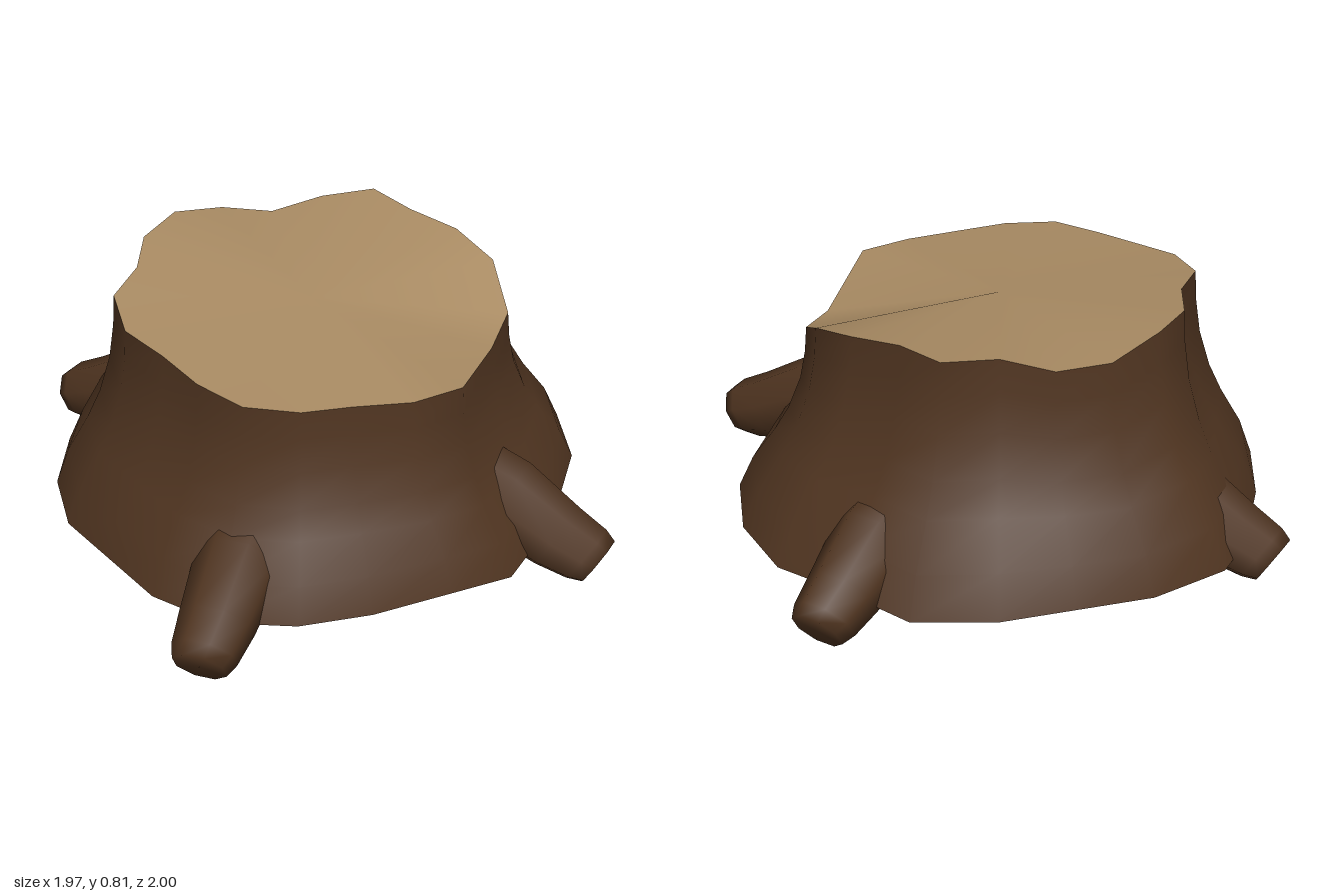
import * as THREE from 'three';

const bark = new THREE.MeshStandardMaterial({ color: 0x4f3420, side: THREE.DoubleSide });
bark.name = 'bark brown';
const wood = new THREE.MeshStandardMaterial({ color: 0xa98b63, side: THREE.DoubleSide });
wood.name = 'cut wood tan';

// Rim of the cut: x, height, z, counter-clockwise seen from above
const rim = [
  [0.61, 0.675, 0.04], [0.47, 0.62, -0.26], [0.40, 0.65, -0.42], [0.25, 0.74, -0.52],
  [0.08, 0.78, -0.54], [-0.09, 0.80, -0.51], [-0.26, 0.81, -0.52], [-0.36, 0.80, -0.38],
  [-0.47, 0.75, -0.26], [-0.58, 0.77, -0.14], [-0.61, 0.81, 0.04], [-0.57, 0.80, 0.21],
  [-0.46, 0.785, 0.34], [-0.40, 0.77, 0.49], [-0.25, 0.745, 0.58], [-0.08, 0.73, 0.585],
  [0.08, 0.71, 0.60], [0.25, 0.70, 0.585], [0.38, 0.69, 0.48], [0.46, 0.685, 0.35],
  [0.56, 0.675, 0.20],
];
// Flared foot: x, z, matched to the rim
const foot = [
  [0.825, 0.04], [0.74, -0.26], [0.55, -0.60], [0.36, -0.76], [0.12, -0.84],
  [-0.12, -0.80], [-0.37, -0.78], [-0.56, -0.61], [-0.69, -0.41], [-0.82, -0.21],
  [-0.89, 0.04], [-0.85, 0.20], [-0.70, 0.46], [-0.54, 0.65], [-0.34, 0.775],
  [-0.11, 0.81], [0.12, 0.845], [0.35, 0.80], [0.53, 0.65], [0.65, 0.46], [0.75, 0.22],
];
const FOOT_Y = 0.1;

// Skin a stack of closed rings, each an array of [x, y, z]
function loft(rings) {
  const n = rings[0].length, index = [];
  for (let i = 0; i < rings.length - 1; i++) {
    for (let j = 0; j < n; j++) {
      const k = (j + 1) % n;
      const a = i * n + j, b = i * n + k, c = b + n, d = a + n;
      index.push(a, b, c, a, c, d);
    }
  }
  return geometry(rings.flat(), index);
}

// Fill a ring with triangles around a centre point
function fan(center, ring) {
  const index = [];
  ring.forEach((_, j) => index.push(0, j + 1, ((j + 1) % ring.length) + 1));
  return geometry([center, ...ring], index);
}

function geometry(points, index) {
  const g = new THREE.BufferGeometry();
  g.setAttribute('position', new THREE.Float32BufferAttribute(points.flat(), 3));
  g.setIndex(index);
  g.computeVertexNormals();
  return g;
}

function makeMesh(geo, material, name) {
  const mesh = new THREE.Mesh(geo, material);
  mesh.name = name;
  return mesh;
}

// Fat root arching from under the trunk out to the ground, with a blunt smooth tip.
// Stations: fraction along the root, height, radius, downward slope
const stations = [
  [0, 0.28, 0.07, 0], [0.12, 0.28, 0.125, 0], [0.28, 0.27, 0.15, 0.05],
  [0.48, 0.245, 0.148, 0.2], [0.68, 0.205, 0.135, 0.45], [0.86, 0.12, 0.115, 0.55],
  [0.96, 0.085, 0.1, 0.57], [1, 0.07, 0.083, 0.57], [1, 0.07, 0.001, 0.57],
];
function makeRoot(name, entry, tip) {
  const up = new THREE.Vector3(0, 1, 0);
  const start = new THREE.Vector3();
  const path = new THREE.QuadraticBezierCurve3(
    start,
    new THREE.Vector3(entry[0], 0, entry[1]).multiplyScalar(0.75),
    new THREE.Vector3(tip[0], 0, tip[1]),
  );
  const rings = stations.map(([t, y, r, slope]) => {
    const c = path.getPointAt(t).setY(y);
    const out = path.getTangentAt(t);
    const dir = out.clone().addScaledVector(up, -slope).normalize();
    const side = up.clone().cross(out).normalize();
    const normal = dir.clone().cross(side);
    return Array.from({ length: 8 }, (_, j) => {
      const a = ((j + 0.5) / 8) * Math.PI * 2;
      return c.clone().addScaledVector(side, r * Math.cos(a))
        .addScaledVector(normal, r * Math.sin(a)).toArray();
    });
  });
  return makeMesh(loft(rings), bark, name);
}

export function createModel() {
  const model = new THREE.Group();
  model.name = 'treeStump';

  // Trunk, open underneath: height fraction and amount of flare
  const profile = [[0, 1], [0.18, 0.8], [0.36, 0.48], [0.5, 0.28], [0.68, 0.11], [0.85, 0.03], [1, 0]];
  const rings = profile.map(([v, flare]) => rim.map(([x, y, z], j) => [
    THREE.MathUtils.lerp(x, foot[j][0], flare),
    THREE.MathUtils.lerp(FOOT_Y, y, v),
    THREE.MathUtils.lerp(z, foot[j][1], flare),
  ]));
  model.add(makeMesh(loft(rings), bark, 'trunk'));

  // Uneven cut surface
  model.add(makeMesh(fan([0, 0.735, 0.04], rim), wood, 'cutTop'));

  // Four roots: plan position where each leaves the trunk, and of its tip
  model.add(makeRoot('leftRoot', [0.7, -0.15], [0.94, -0.235]));
  model.add(makeRoot('rightRoot', [-0.72, 0.18], [-0.94, 0.22]));
  model.add(makeRoot('frontRoot', [0.31, 0.72], [0.43, 0.95]));
  model.add(makeRoot('backRoot', [-0.11, -0.7], [-0.17, -0.96]));
  return model;
}
